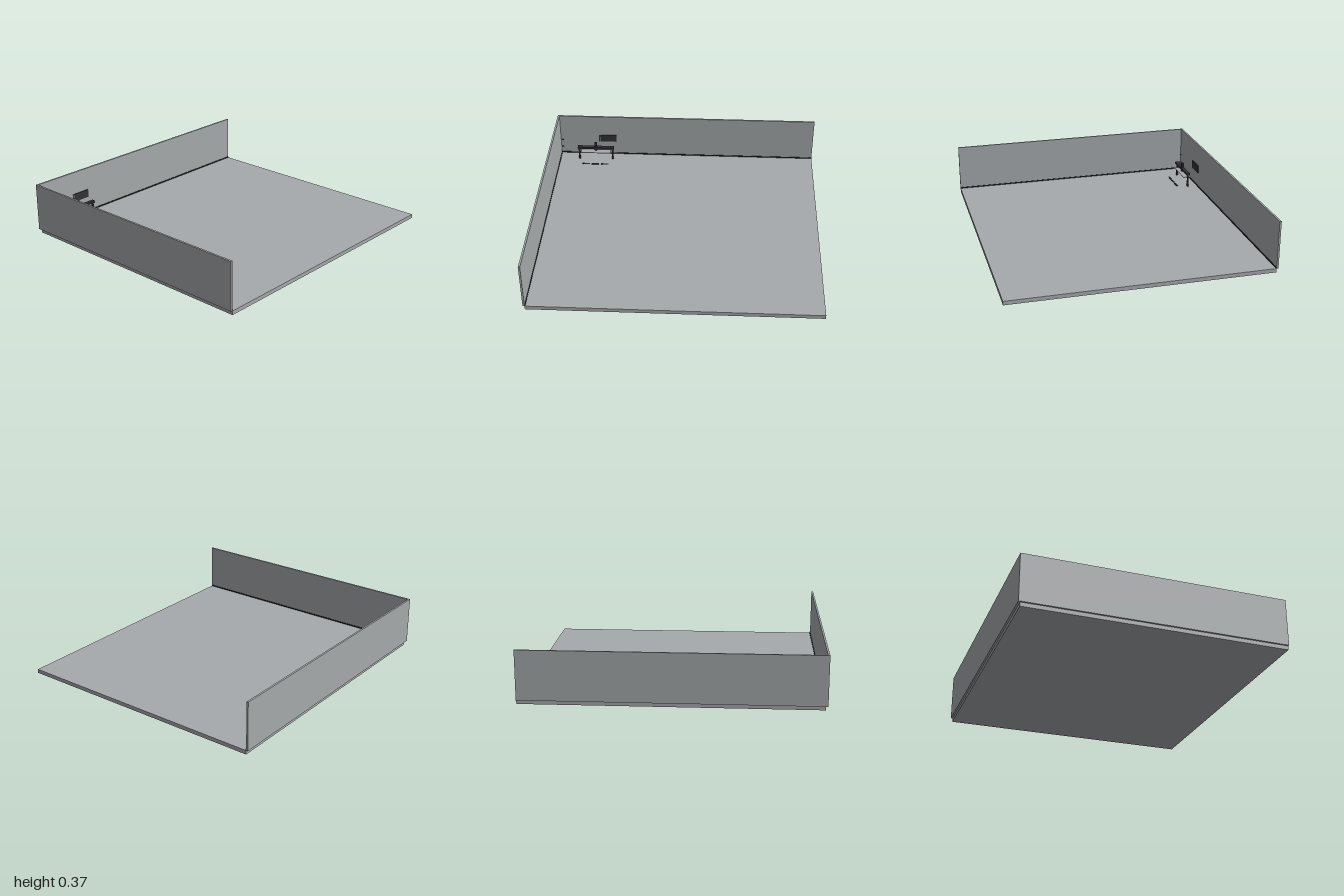
import * as THREE from 'three';

export function createModel() {
  const model = new THREE.Group();
  model.name = 'roomCorner';

  const concrete = new THREE.MeshStandardMaterial({ color: 0xa6aaac });
  concrete.name = 'concrete grey';
  const charcoal = new THREE.MeshStandardMaterial({ color: 0x323238 });
  charcoal.name = 'charcoal';
  const black = new THREE.MeshStandardMaterial({ color: 0x222226 });
  black.name = 'near black';

  // Box given by its lower and upper limits on each axis
  function box(name, material, [x0, x1], [y0, y1], [z0, z1], parent = model) {
    const mesh = new THREE.Mesh(new THREE.BoxGeometry(x1 - x0, y1 - y0, z1 - z0), material);
    mesh.position.set((x0 + x1) / 2, (y0 + y1) / 2, (z0 + z1) / 2);
    mesh.name = name;
    parent.add(mesh);
    return mesh;
  }

  // Floor slab and the two walls
  box('floor', concrete, [-0.987, 1], [0, 0.028], [-0.905, 0.918]);
  box('backWall', concrete, [-0.987, 1], [0.028, 0.365], [-0.918, -0.905]);
  box('rightWall', concrete, [-1, -0.987], [0.028, 0.365], [-0.918, 0.918]);

  // Skirting strips along the wall bases
  box('backSkirting', black, [-0.987, 1], [0.028, 0.036], [-0.905, -0.901]);
  box('rightSkirting', black, [-0.987, -0.983], [0.028, 0.036], [-0.901, 0.918]);

  // Narrow bench with legs, a low shelf and a central post
  const bench = new THREE.Group();
  bench.name = 'bench';
  model.add(bench);
  const benchX = -0.703;
  const benchZ = -0.826;
  box('benchTop', charcoal, [benchX - 0.142, benchX + 0.142], [0.124, 0.14], [benchZ - 0.014, benchZ + 0.014], bench);
  for (const side of [-1, 1]) {
    const x = benchX + side * 0.131;
    box('benchLeg', charcoal, [x - 0.006, x + 0.006], [0.028, 0.124], [benchZ - 0.005, benchZ + 0.005], bench);
  }
  box('benchShelf', concrete, [benchX - 0.116, benchX + 0.116], [0.096, 0.1], [benchZ - 0.028, benchZ + 0.028], bench);
  box('benchPost', charcoal, [benchX - 0.009, benchX + 0.009], [0.108, 0.178], [benchZ - 0.009, benchZ + 0.009], bench);

  // Panel hung on the back wall, with a pale strip near its edge
  box('wallPanel', charcoal, [-0.684, -0.546], [0.142, 0.2], [-0.905, -0.899]);
  box('wallPanelStrip', concrete, [-0.677, -0.674], [0.142, 0.2], [-0.899, -0.8985]);

  // Floor dashes in front of the bench
  for (let i = -1; i <= 1; i++) {
    const x = benchX + i * 0.073;
    box('floorMark', black, [x - 0.029, x + 0.029], [0.028, 0.031], [-0.756, -0.742]);
  }

  // Small rungs in the corner
  for (const y of [0.085, 0.15]) {
    box('cornerRung', black, [-0.984, -0.966], [y - 0.002, y + 0.002], [-0.905, -0.899]);
  }

  return model;
}
